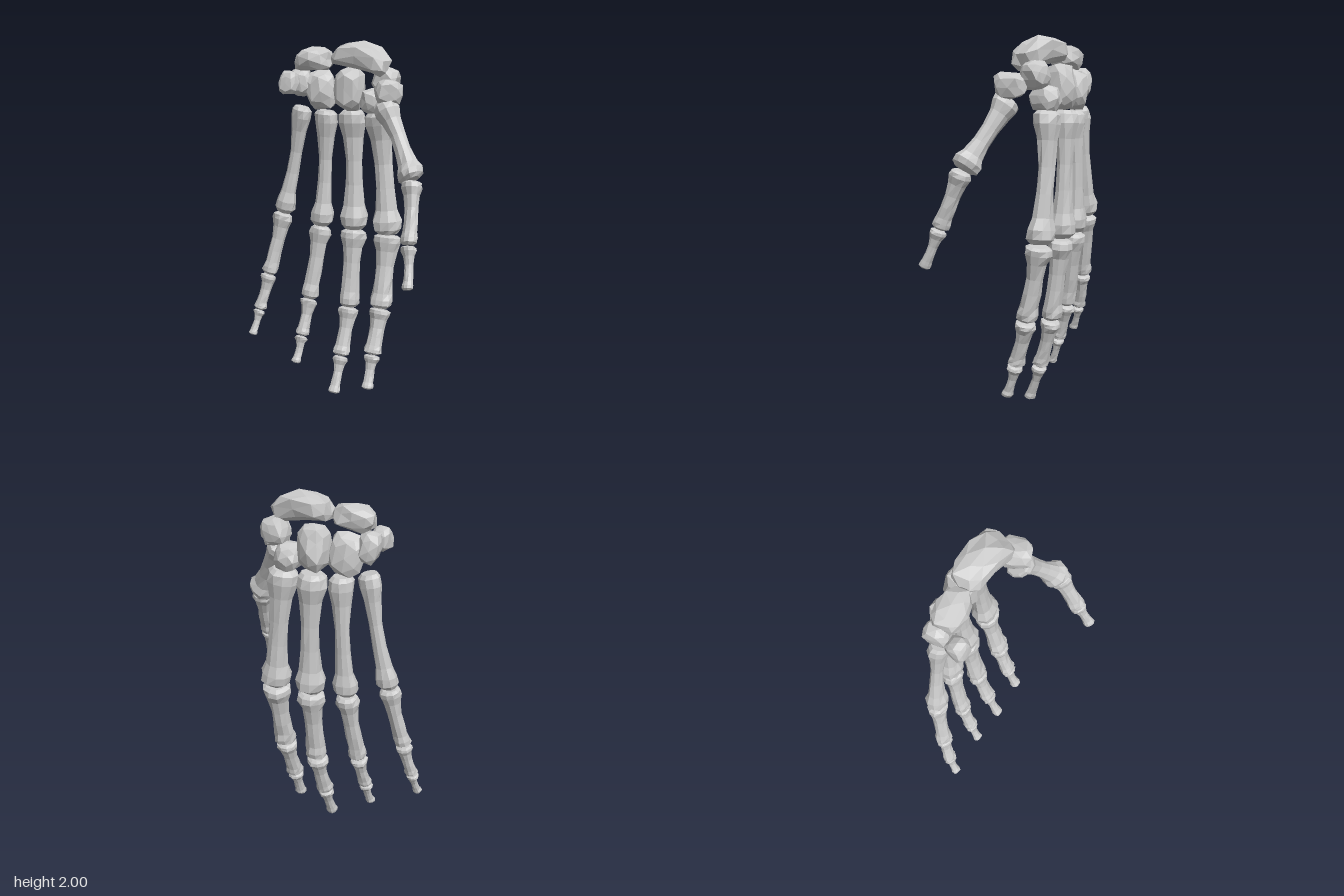
import * as THREE from 'three';

const material = new THREE.MeshStandardMaterial({ color: 0xcccccc, flatShading: true });

// repeatable irregularity in -1..1 taken from a position
function noise(x, y, z) {
  const s = Math.sin(x * 127.1 + y * 311.7 + z * 74.7) * 43758.5453;
  return 2 * (s - Math.floor(s)) - 1;
}

// half widths of base, shaft and head for each kind of finger bone
const kinds = {
  Metacarpal: [1, 0.6, 1],
  ProximalPhalanx: [0.97, 0.63, 0.77],
  MiddlePhalanx: [0.77, 0.51, 0.62],
  DistalPhalanx: [0.58, 0.33, 0.42],
};

// Long bone from A to B: flared base, thin bowed shaft, two-knuckled head
function longBone(name, A, B, [base, shaft, head], palm, bow) {
  const d = B.clone().sub(A).normalize();
  const p = palm.clone().addScaledVector(d, -palm.dot(d)).normalize();
  const w = p.clone().cross(d);
  // position along the bone, half width, depth ratio, palm-side groove
  const rings = [
    [0, base * 0.7, 0.9, 0], [0.03, base * 0.95, 0.92, 0.1], [0.1, base, 0.9, 0.15],
    [0.22, base * 0.35 + shaft * 0.65, 0.87, 0.05], [0.42, shaft, 0.85, 0], [0.62, shaft * 1.05, 0.85, 0],
    [0.8, shaft * 0.6 + head * 0.4, 0.87, 0.05], [0.89, head, 0.92, 0.12],
    [0.96, head * 0.97, 0.98, 0.22], [1, head * 0.65, 0.9, 0.15],
  ];
  const n = 10, pos = [], idx = [];
  rings.forEach(([t, width, depth, groove], i) => {
    const c = A.clone().lerp(B, t).addScaledVector(p, -bow * 4 * t * (1 - t));
    for (let j = 0; j < n; j++) {
      const q = (j / n) * Math.PI * 2;
      const dent = 1 - groove * Math.max(0, Math.sin(q)) ** 4;
      const k = width * (1 + 0.08 * noise(A.x + i, A.y + j, B.x));
      pos.push(...c.clone().addScaledVector(w, Math.cos(q) * k)
        .addScaledVector(p, Math.sin(q) * k * depth * dent));
    }
  });
  pos.push(...A, ...B);
  const last = rings.length - 1, cap = rings.length * n;
  for (let j = 0; j < n; j++) {
    const m = (j + 1) % n;
    for (let i = 0; i < last; i++) {
      const o = i * n, u = o + n;
      idx.push(o + j, o + m, u + m, o + j, u + m, u + j);
    }
    idx.push(cap, m, j, cap + 1, last * n + j, last * n + m);
  }
  const g = new THREE.BufferGeometry();
  g.setAttribute('position', new THREE.Float32BufferAttribute(pos, 3));
  g.setIndex(idx);
  g.computeVertexNormals();
  const mesh = new THREE.Mesh(g, material);
  mesh.name = name;
  return mesh;
}

// Chain of bones through its joints, from wrist to tip; lean turns the palm side sideways
function digit(name, size, lean, ...joints) {
  const group = new THREE.Group();
  group.name = name + 'Digit';
  const palm = new THREE.Vector3(lean, 0, 1);
  const points = joints.map(j => new THREE.Vector3(...j));
  // the thumb has one bone fewer
  const names = Object.keys(kinds).filter((_, i) => joints.length === 5 || i !== 1);
  names.forEach((kind, i) => {
    const [a, b] = [points[i], points[i + 1]];
    const gap = b.clone().sub(a).setLength(0.004);
    group.add(longBone(name + kind, a.clone().add(gap), i === names.length - 1 ? b : b.clone().sub(gap),
      kinds[kind].map(k => k * size), palm, i ? 0.008 : 0.018));
  });
  return group;
}

// Wrist bone: faceted, squared pebble, optionally arched along its length
function wristBone(name, centre, half, turn = [0, 0, 0], arch = 0) {
  const g = new THREE.IcosahedronGeometry(1, 1), P = g.attributes.position;
  const v = new THREE.Vector3();
  for (let i = 0; i < P.count; i++) {
    const [x, y, z] = v.fromBufferAttribute(P, i).toArray().map(c => Math.round(c * 100) / 100 + 0);
    const k = 1 + 0.12 * noise(x + centre[0], y, z);
    const square = c => Math.sign(c) * Math.abs(c) ** 0.75 * k;
    P.setXYZ(i, square(x) * half[0], square(y) * half[1] - arch * x * x, square(z) * half[2]);
  }
  g.computeVertexNormals();
  const mesh = new THREE.Mesh(g, material);
  mesh.name = name;
  mesh.position.set(...centre);
  mesh.rotation.set(...turn);
  return mesh;
}

export function createModel() {
  const hand = new THREE.Group();
  hand.name = 'handSkeleton';

  // thumb and fingers
  hand.add(
    digit('thumb', 0.077, -0.75, [0.25, 1.68, -0.06], [0.465, 1.32, 0.075], [0.5, 1.015, 0.2], [0.53, 0.81, 0.285]),
    digit('index', 0.082, 0.1, [0.155, 1.62, -0.23], [0.222, 0.935, -0.228], [0.218, 0.52, -0.143],
      [0.202, 0.265, -0.063], [0.2, 0.08, 0]),
    digit('middle', 0.08, 0, [-0.005, 1.625, -0.23], [0.013, 0.942, -0.225], [0.011, 0.49, -0.165],
      [-0.002, 0.213, -0.083], [-0.012, 0.01, -0.005]),
    digit('ring', 0.067, -0.15, [-0.15, 1.62, -0.2], [-0.18, 0.95, -0.195], [-0.223, 0.52, -0.12],
      [-0.242, 0.308, -0.053], [-0.255, 0.155, 0]),
    digit('little', 0.062, -0.35, [-0.275, 1.64, -0.155], [-0.397, 1.018, -0.143], [-0.468, 0.65, -0.078],
      [-0.508, 0.438, -0.028], [-0.53, 0.295, 0.025]),
  );

  // wrist: upper row, then lower row against the metacarpals
  const wrist = new THREE.Group();
  wrist.name = 'wrist';
  wrist.add(
    wristBone('scaphoid', [0.09, 1.925, -0.145], [0.18, 0.072, 0.09], [0, -0.12, -0.2], 0.055),
    wristBone('lunate', [-0.19, 1.9, -0.13], [0.11, 0.062, 0.078], [0, 0.1, 0.08], 0.01),
    wristBone('triquetrum', [-0.275, 1.77, -0.155], [0.06, 0.08, 0.068], [0, 0.3, 0.2]),
    wristBone('pisiform', [-0.29, 1.775, -0.04], [0.054, 0.065, 0.056]),
    wristBone('hamate', [-0.165, 1.73, -0.185], [0.088, 0.11, 0.078], [0, 0.3, 0.15]),
    wristBone('capitate', [-0.005, 1.74, -0.205], [0.078, 0.118, 0.085]),
    wristBone('trapezoid', [0.135, 1.68, -0.21], [0.07, 0.07, 0.08], [0, -0.2, 0.2]),
    wristBone('trapezium', [0.27, 1.745, -0.085], [0.073, 0.072, 0.09], [0, 0.4, -0.2]),
    wristBone('scaphoidTubercle', [0.21, 1.795, -0.195], [0.07, 0.075, 0.07], [0, 0, -0.4]),
  );
  hand.add(wrist);
  return hand;
}
